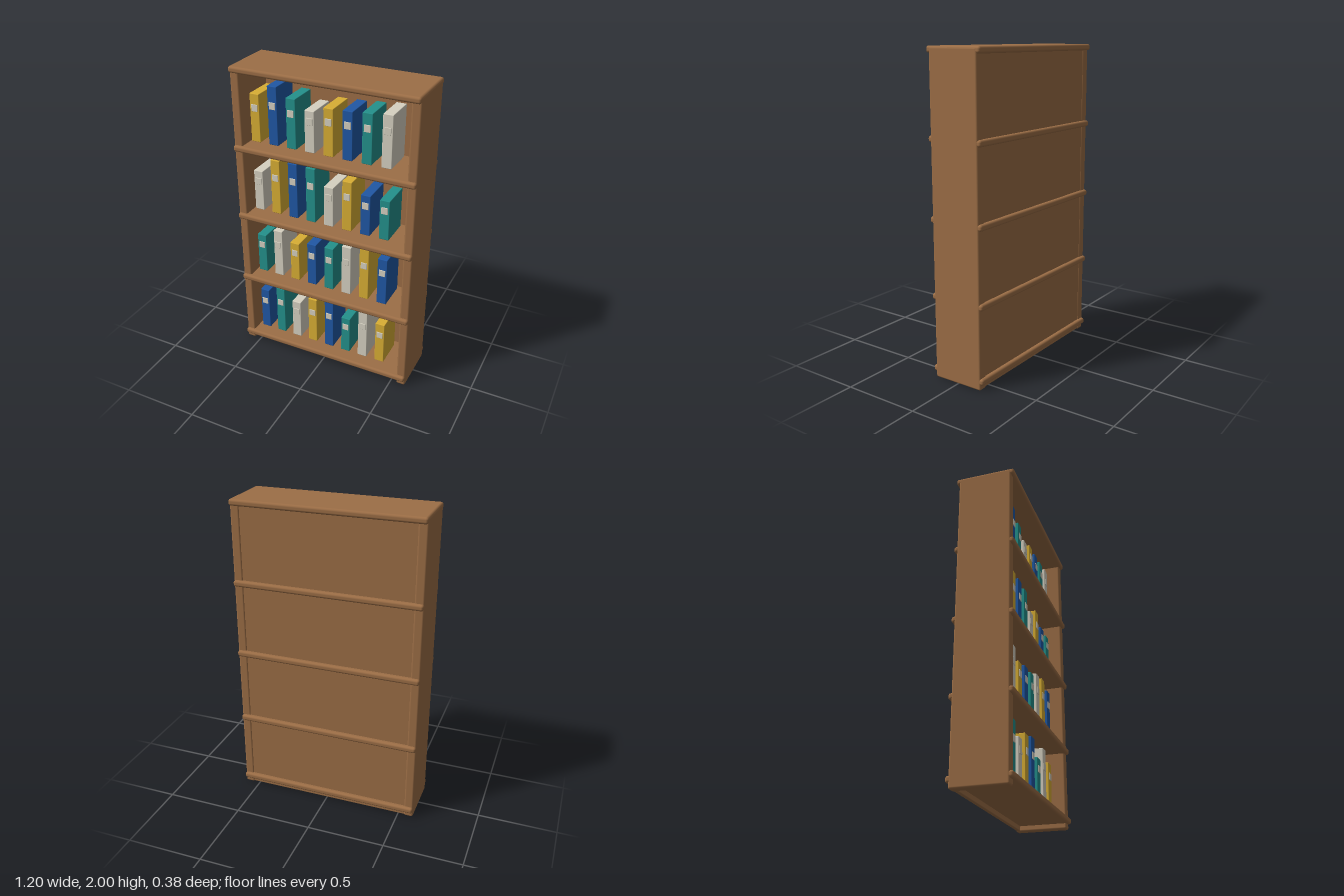
import * as THREE from 'three';
import { RoundedBoxGeometry } from 'three/addons/geometries/RoundedBoxGeometry.js';

const material = (color) => new THREE.MeshStandardMaterial({ color });

function block(parent, name, size, position, radius, mat) {
  const mesh = new THREE.Mesh(new RoundedBoxGeometry(...size, 3, radius), mat);
  mesh.name = name;
  mesh.position.set(...position);
  parent.add(mesh);
  return mesh;
}

export function createModel() {
  const model = new THREE.Group();
  model.name = 'bookcase';
  const wood = material(0x9c6e46);
  const covers = {
    y: material(0xd9ae34),
    b: material(0x2058a5),
    t: material(0x24918c),
    c: material(0xd6d1c1),
  };

  // Upright sides and back panel
  for (const [name, s] of [['leftSide', 1], ['rightSide', -1]]) {
    block(model, name, [0.06, 1.99, 0.34], [s * 0.57, 1.0, 0], 0.012, wood);
  }
  block(model, 'backPanel', [1.12, 1.97, 0.025], [0, 0.995, -0.152], 0.005, wood);

  // Shelves with rounded lips that overhang front and back
  const shelfHeights = [0.06, 0.525, 1.0, 1.477, 1.98];
  shelfHeights.forEach((y, i) => {
    const name = i === 4 ? 'topBoard' : 'shelf';
    block(model, name, [1.198, 0.04, 0.38], [0, y, 0], 0.015, wood);
  });

  // Rows of books: bottom y, cover colours and heights from right to left
  const rows = [
    [0.09, 'btcybtcy', [0.31, 0.355, 0.285, 0.345, 0.365, 0.27, 0.365, 0.305]],
    [0.565, 'tcybtcyb', [0.28, 0.34, 0.28, 0.305, 0.31, 0.352, 0.368, 0.33]],
    [1.04, 'cybtcybt', [0.275, 0.372, 0.375, 0.37, 0.27, 0.335, 0.272, 0.266]],
    [1.515, 'ybtcybtc', [0.31, 0.375, 0.32, 0.265, 0.302, 0.307, 0.317, 0.33]],
  ];
  const depth = 0.2, front = 0.11;
  rows.forEach(([base, colours, heights], r) => {
    const row = new THREE.Group();
    row.name = `bookRow${r + 1}`;
    heights.forEach((h, i) => {
      const book = new THREE.Group();
      book.name = 'book';
      book.position.set(-0.477 + i * 0.1236, base, front);
      block(book, 'cover', [0.064, h, depth], [0, h / 2, -depth / 2], 0.004, covers[colours[i]]);
      // Spine label
      block(book, 'spineLabel', [0.042, 0.045, 0.006], [0, 0.065 + h * 0.5, 0.001], 0.002, covers.c);
      row.add(book);
    });
    model.add(row);
  });

  return model;
}
